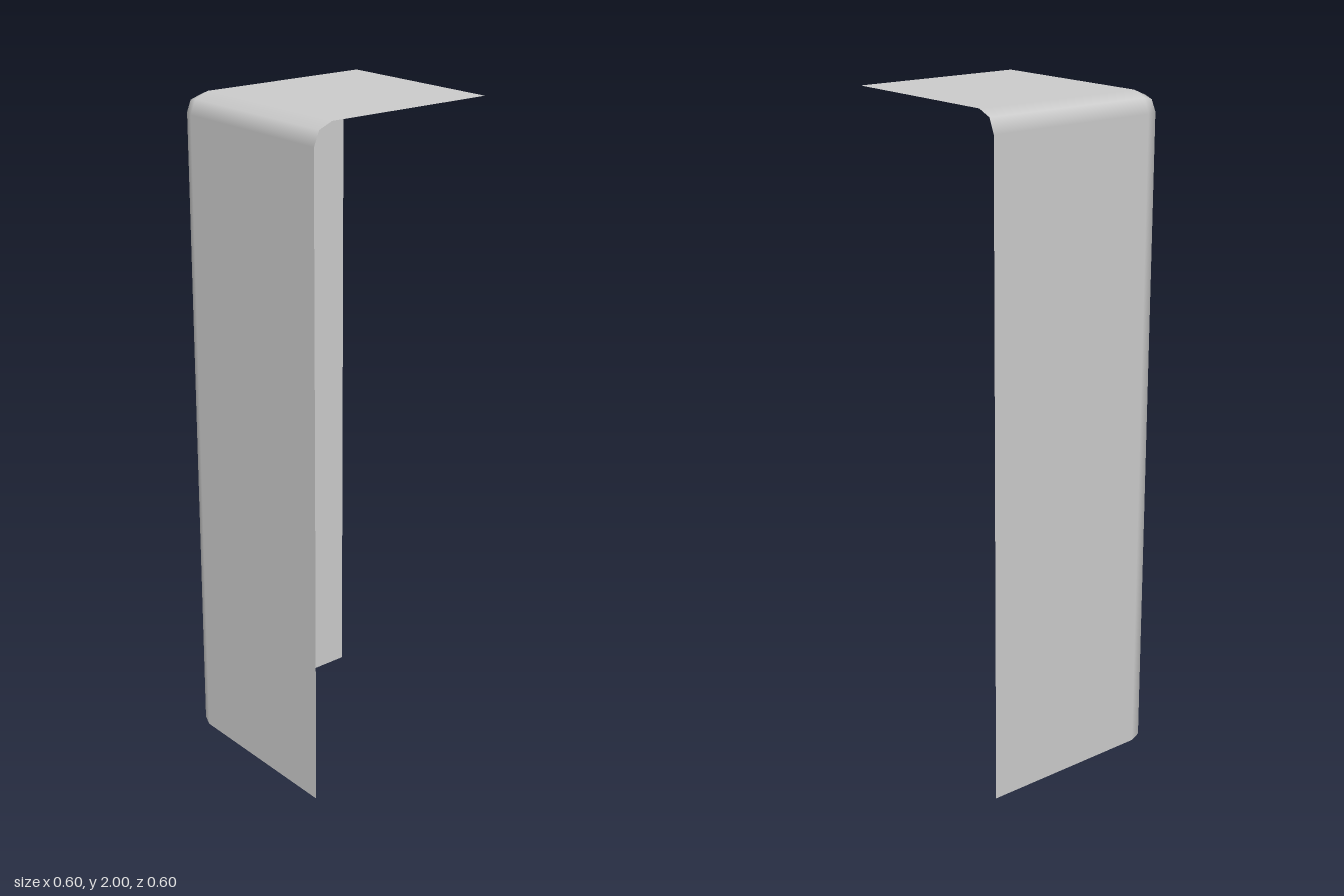
import * as THREE from 'three';

const RADIUS = 0.06;
const OUT = [-1, 1, -1];              // outward direction at the rounded corner
const CORE = [-0.24, 1.94, -0.24];    // centre of the corner rounding
const FAR = [0.3, 0, 0.3];            // open ends of the shell

// One panel facing along an axis, with its share of the rounded edges:
// step 0 lies on the shared edge seam, 1 where the flat begins, 2 at the open end.
function panel(name, axis, material) {
  const b = (axis + 1) % 3, c = (axis + 2) % 3;
  const positions = [], normals = [], index = [];
  for (let i = 0; i < 3; i++) {
    for (let j = 0; j < 3; j++) {
      const dir = [0, 0, 0], base = [...CORE];
      dir[axis] = OUT[axis];
      if (i === 0) dir[b] = OUT[b];
      if (j === 0) dir[c] = OUT[c];
      if (i === 2) base[b] = FAR[b];
      if (j === 2) base[c] = FAR[c];
      const n = new THREE.Vector3(...dir).normalize();
      normals.push(...n.toArray());
      positions.push(...n.multiplyScalar(RADIUS).add(new THREE.Vector3(...base)).toArray());
      if (i < 2 && j < 2) {
        const k = i * 3 + j;
        index.push(k, k + 3, k + 4, k, k + 4, k + 1);
      }
    }
  }
  const geometry = new THREE.BufferGeometry();
  geometry.setAttribute('position', new THREE.Float32BufferAttribute(positions, 3));
  geometry.setAttribute('normal', new THREE.Float32BufferAttribute(normals, 3));
  geometry.setIndex(index);
  const mesh = new THREE.Mesh(geometry, material);
  mesh.name = name;
  return mesh;
}

export function createModel() {
  const material = new THREE.MeshStandardMaterial({ color: 0xcccccc, side: THREE.DoubleSide });
  const group = new THREE.Group();
  group.name = 'cornerShell';
  // Two walls and a cap that meet in one rounded corner
  ['sideWall', 'topPanel', 'backWall'].forEach((name, axis) => group.add(panel(name, axis, material)));
  return group;
}
